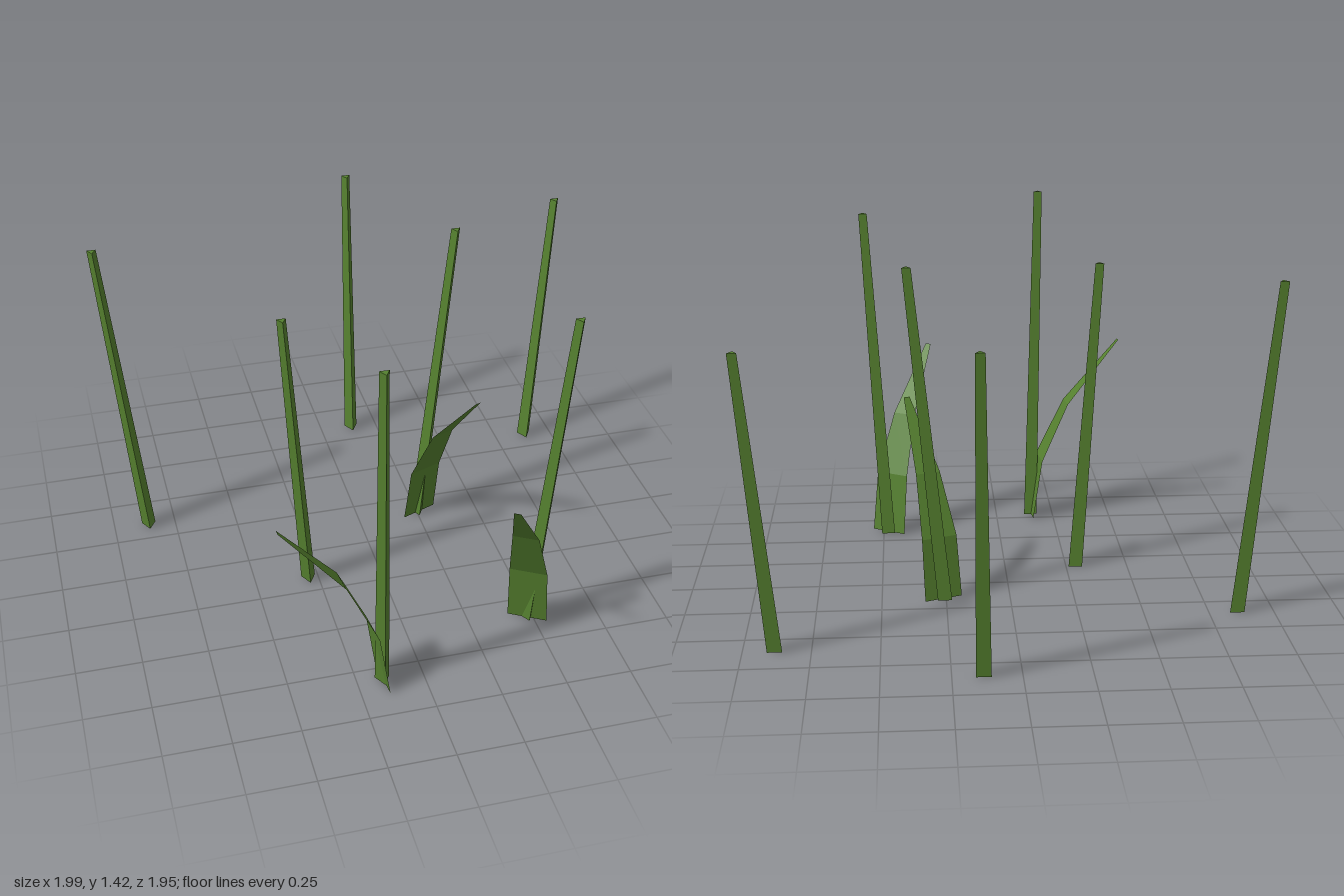
import * as THREE from 'three';

const green = new THREE.MeshStandardMaterial({ color: 0x55802f, flatShading: true, side: THREE.DoubleSide });
green.name = 'grass green';

// Leaning, tapered three-sided stalk with level ends: base (x, z), tip (x, y, z)
function stem([bx, bz], [tx, ty, tz]) {
  const geo = new THREE.CylinderGeometry(0.02, 0.032, ty, 3, 1);
  geo.translate(0, ty / 2, 0);
  const p = geo.attributes.position;
  for (let i = 0; i < p.count; i++) {
    const t = p.getY(i) / ty;
    p.setX(i, p.getX(i) + bx + (tx - bx) * t);
    p.setZ(i, p.getZ(i) + bz + (tz - bz) * t);
  }
  const flat = geo.toNonIndexed();
  flat.computeVertexNormals();
  return new THREE.Mesh(flat, green);
}

// Cross-sections of a bent leaf: reach, height, width (for a leaf of full size)
const leafProfile = [
  [0, 0, 0.154],
  [0.04, 0.26, 0.145],
  [0.157, 0.51, 0.1],
  [0.387, 0.785, 0.025],
];

// Thin bent leaf, arching from base (x, z) towards the tip (x, z)
function leaf([bx, bz], [tx, tz], height) {
  const dx = tx - bx, dz = tz - bz;
  const length = Math.hypot(dx, dz);
  const ux = dx / length, uz = dz / length;
  const points = [], index = [];
  leafProfile.forEach(([reach, y, width], i) => {
    const d = reach / 0.387 * length, h = y / 0.785 * height;
    for (const s of [-0.5, 0.5]) {
      points.push(bx + ux * d - uz * width * s, h, bz + uz * d + ux * width * s);
    }
    if (i > 0) {
      const a = 2 * (i - 1);
      index.push(a, a + 2, a + 1, a + 1, a + 2, a + 3);
    }
  });
  const geo = new THREE.BufferGeometry();
  geo.setAttribute('position', new THREE.Float32BufferAttribute(points, 3));
  geo.setIndex(index);
  const flat = geo.toNonIndexed();
  flat.computeVertexNormals();
  return new THREE.Mesh(flat, green);
}

export function createModel() {
  const group = new THREE.Group();
  group.name = 'grassStalks';

  // Seven tall stalks
  const stems = [
    [[-0.858, -0.343], [-0.98, 1.29, -0.36]],
    [[-0.288, 0.167], [-0.38, 1.245, 0.246]],
    [[-0.152, 0.812], [-0.19, 1.425, 0.955]],
    [[0.138, -0.848], [0.15, 1.195, -0.965]],
    [[0.255, -0.155], [0.385, 1.315, -0.148]],
    [[0.48, 0.604], [0.562, 1.375, 0.715]],
    [[0.883, -0.598], [0.98, 1.13, -0.66]],
  ];
  stems.forEach(([base, tip], i) => {
    const mesh = stem(base, tip);
    mesh.name = `stem${i + 1}`;
    group.add(mesh);
  });

  // Three arching leaves at the feet of the stalks
  const leaves = [
    [[0.478, 0.612], [0.293, 0.927], 0.76],
    [[0.26, -0.152], [0.391, 0.178], 0.728],
    [[-0.153, 0.815], [-0.538, 0.857], 0.785],
  ];
  leaves.forEach(([base, tip, height], i) => {
    const mesh = leaf(base, tip, height);
    mesh.name = `leaf${i + 1}`;
    group.add(mesh);
  });

  return group;
}
